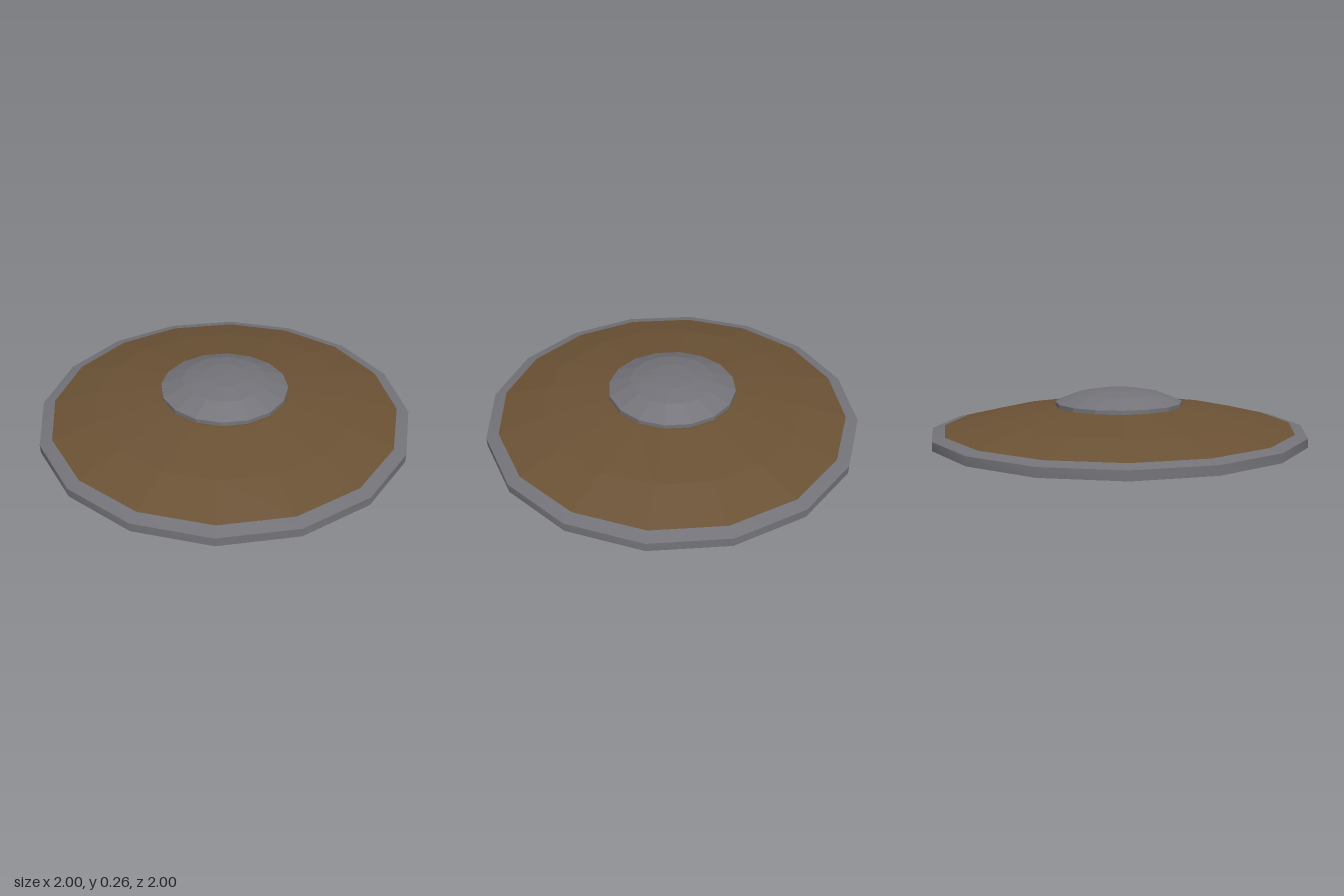
import * as THREE from 'three';
import { toCreasedNormals } from 'three/addons/utils/BufferGeometryUtils.js';

const SIDES = 16;

// Turned surface; edges sharper than the crease angle stay hard
function turned(name, profile, material, crease = 0.01) {
  const points = profile.map(([r, y]) => new THREE.Vector2(r, y));
  const geometry = toCreasedNormals(new THREE.LatheGeometry(points, SIDES), crease);
  const mesh = new THREE.Mesh(geometry, material);
  mesh.name = name;
  return mesh;
}

export function createModel() {
  const wood = new THREE.MeshStandardMaterial({ color: 0x6b5235 });
  wood.name = 'brown wood';
  const metal = new THREE.MeshStandardMaterial({ color: 0x737379 });
  metal.name = 'grey metal';

  const shield = new THREE.Group();
  shield.name = 'roundShield';

  shield.add(
    // Domed wooden face
    turned('woodFace', [[0.935, 0.061], [0.7, 0.117], [0.36, 0.164], [0, 0.183]], wood),
    // Shallow hollow wooden back
    turned('woodBack', [[0, 0.07], [0.36, 0.061], [0.7, 0.037], [0.93, 0.008]], wood),
    // Metal band wrapping the edge, smooth around its wall
    turned('rim', [[0.93, 0.008], [1, 0], [1, 0.046], [0.935, 0.061]], metal, 0.5),
    // Central metal boss
    turned('boss', [[0.342, 0.163], [0.342, 0.186], [0.225, 0.232], [0.115, 0.251], [0, 0.256]], metal),
  );
  return shield;
}
